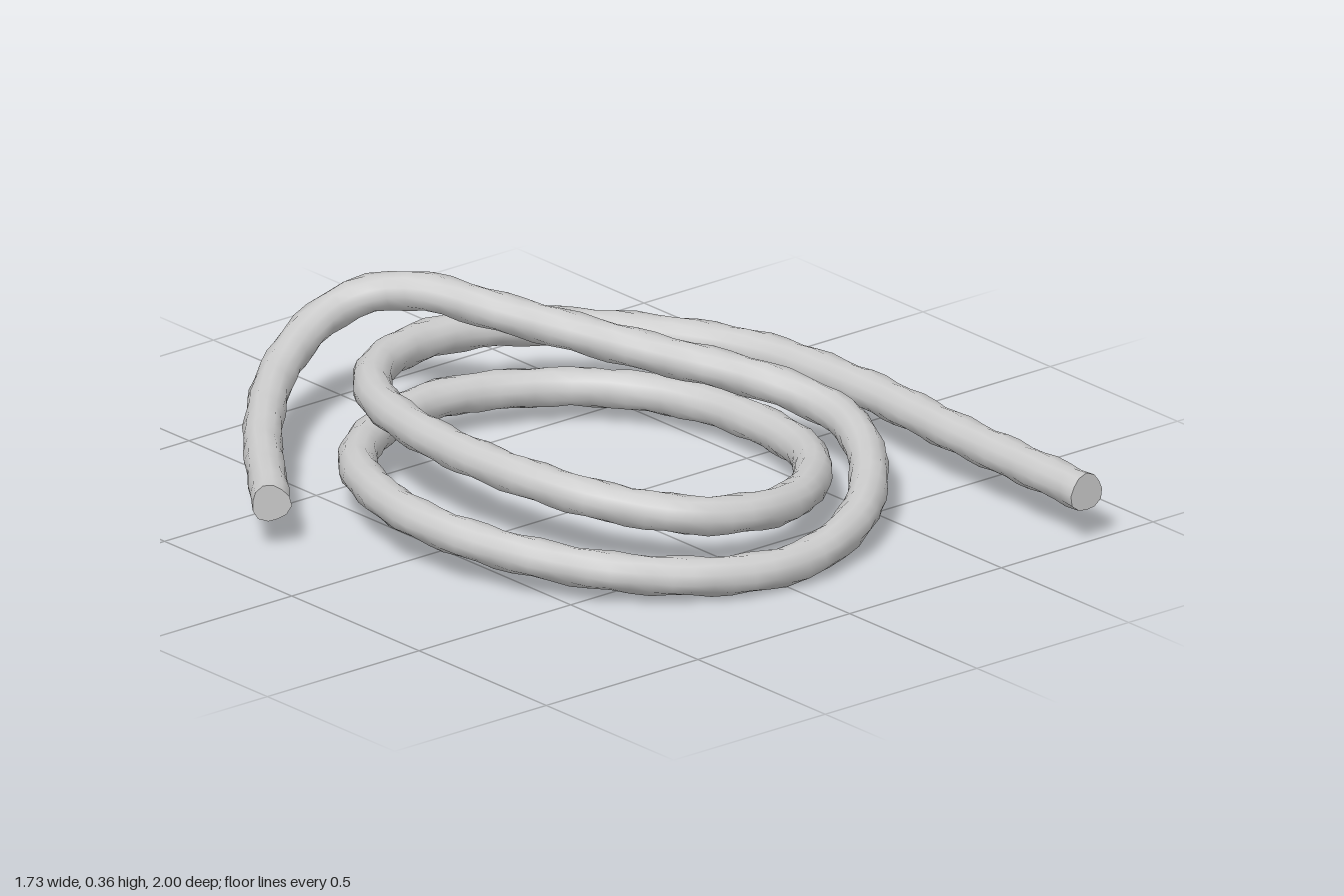
import * as THREE from 'three';
import { mergeVertices } from 'three/addons/utils/BufferGeometryUtils.js';

const RADIUS = 0.05, SEGMENTS = 220, SIDES = 12, LOBES = 3, TURNS = 20;

// Centre line of the coiled rope, [x, y, z], from the front end to the back end
const outerPass = [
  [0.785, 0.13, 0.995], [0.8, 0.13, 0.5], [0.815, 0.135, 0.05], [0.765, 0.14, -0.3],
  [0.56, 0.155, -0.6], [0.32, 0.175, -0.76], [0.1, 0.185, -0.79], [-0.11, 0.19, -0.72],
];
const innerLoop = [
  [-0.25, 0.195, -0.57], [-0.33, 0.2, -0.36], [-0.36, 0.2, -0.1], [-0.33, 0.19, 0.15],
  [-0.25, 0.17, 0.35], [-0.1, 0.145, 0.51], [0.05, 0.13, 0.555], [0.21, 0.115, 0.525],
  [0.4, 0.1, 0.38], [0.51, 0.085, 0.2], [0.545, 0.08, 0], [0.53, 0.08, -0.2],
  [0.43, 0.085, -0.4], [0.25, 0.09, -0.55], [0, 0.1, -0.62], [-0.22, 0.1, -0.57],
];
const middleLoop = [
  [-0.45, 0.11, -0.4], [-0.57, 0.12, -0.17], [-0.61, 0.12, 0.05], [-0.55, 0.1, 0.3],
  [-0.39, 0.075, 0.55], [-0.15, 0.055, 0.71], [0.06, 0.052, 0.74], [0.3, 0.075, 0.66],
  [0.5, 0.105, 0.48], [0.62, 0.13, 0.28], [0.645, 0.145, 0.13],
];
const crossingEnd = [
  [0.58, 0.18, -0.03], [0.4, 0.23, -0.3], [0.22, 0.28, -0.6], [0.1, 0.31, -0.82],
  [0.01, 0.29, -0.92], [-0.1, 0.25, -0.95], [-0.3, 0.19, -0.875], [-0.55, 0.145, -0.65],
  [-0.825, 0.12, -0.29],
];

// Flat fan closing one end ring of the rope
function endCap(ring, centre, name, material) {
  const points = [];
  for (let j = 0; j < SIDES; j++) {
    for (const p of [centre, ring[j], ring[j + 1]]) points.push(p.x, p.y, p.z);
  }
  const geometry = new THREE.BufferGeometry();
  geometry.setAttribute('position', new THREE.Float32BufferAttribute(points, 3));
  geometry.computeVertexNormals();
  const mesh = new THREE.Mesh(geometry, material);
  mesh.name = name;
  return mesh;
}

export function createModel() {
  const group = new THREE.Group();
  group.name = 'coiledRope';
  const material = new THREE.MeshStandardMaterial({ color: 0xcccccc });
  const capMaterial = new THREE.MeshStandardMaterial({ color: 0xcccccc, side: THREE.DoubleSide });

  const path = [...outerPass, ...innerLoop, ...middleLoop, ...crossingEnd];
  const curve = new THREE.CatmullRomCurve3(path.map((p) => new THREE.Vector3(...p)));
  curve.arcLengthDivisions = 800;
  const tube = new THREE.TubeGeometry(curve, SEGMENTS, RADIUS, SIDES, false);

  // Twist soft strand lobes around the rope
  const pos = tube.attributes.position;
  const rings = [[], []];
  for (let i = 0; i <= SEGMENTS; i++) {
    const u = i / SEGMENTS;
    const centre = curve.getPointAt(u);
    for (let j = 0; j <= SIDES; j++) {
      const k = i * (SIDES + 1) + j;
      const angle = (j % SIDES) / SIDES * Math.PI * 2;
      const swell = 1 + 0.07 * Math.cos(LOBES * (angle - u * TURNS * Math.PI * 2));
      const p = new THREE.Vector3().fromBufferAttribute(pos, k).sub(centre).multiplyScalar(swell).add(centre);
      pos.setXYZ(k, p.x, p.y, p.z);
      if (i === 0) rings[0].push(p);
      if (i === SEGMENTS) rings[1].push(p);
    }
  }

  // Weld the seam so the shading stays smooth
  tube.deleteAttribute('uv');
  tube.deleteAttribute('normal');
  const ropeGeometry = mergeVertices(tube, 1e-5);
  ropeGeometry.computeVertexNormals();
  const rope = new THREE.Mesh(ropeGeometry, material);
  rope.name = 'rope';
  group.add(rope);

  group.add(endCap(rings[0], curve.getPointAt(0), 'frontEnd', capMaterial));
  group.add(endCap(rings[1], curve.getPointAt(1), 'backEnd', capMaterial));
  return group;
}
